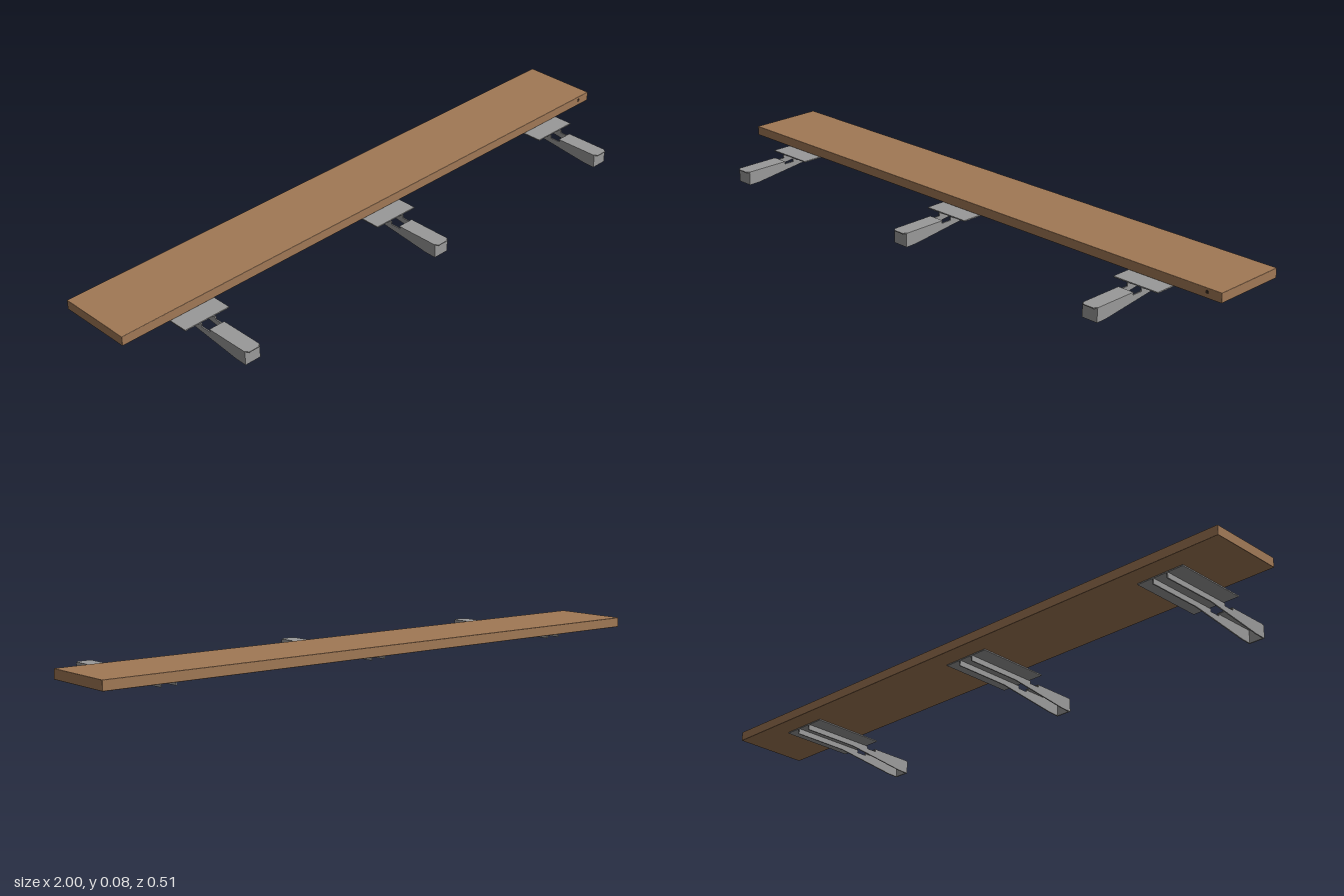
import * as THREE from 'three';
import { RoundedBoxGeometry } from 'three/addons/geometries/RoundedBoxGeometry.js';

const wood = new THREE.MeshStandardMaterial({ color: 0xa07855 });
wood.name = 'wood';
const metal = new THREE.MeshStandardMaterial({ color: 0x999999 });
metal.name = 'grey metal';
const dark = new THREE.MeshStandardMaterial({ color: 0x3a2c22 });
dark.name = 'dark brown';

const HALF = 0.027; // half width of a bracket channel
const WALL = 0.004; // sheet thickness

function add(parent, name, geometry, material, x = 0, y = 0, z = 0) {
  const mesh = new THREE.Mesh(geometry, material);
  mesh.name = name;
  mesh.position.set(x, y, z);
  parent.add(mesh);
  return mesh;
}

function extrude(points, depth) {
  const shape = new THREE.Shape(points.map(([a, b]) => new THREE.Vector2(a, b)));
  return new THREE.ExtrudeGeometry(shape, { depth, bevelEnabled: false });
}

// Side wall outline as (z, y): deep front end, notch, shallow rear rail
const wallGeometry = extrude([
  [0.247, 0], [0.247, 0.043], [0.1, 0.043], [0.1, 0.036], [0.064, 0.036],
  [0.064, 0.045], [-0.192, 0.045], [-0.192, 0.027], [0, 0.027], [0.208, 0.001],
], WALL).rotateY(-Math.PI / 2).translate(WALL / 2, 0, 0);

// Front cover outline as (x, z), with clipped front corners
const coverGeometry = extrude([
  [-HALF, 0.098], [HALF, 0.098], [HALF, 0.243], [0.018, 0.255], [-0.018, 0.255], [-HALF, 0.243],
], 0.003).rotateX(Math.PI / 2);

function makeBracket() {
  const bracket = new THREE.Group();
  bracket.name = 'bracket';
  for (const side of [-1, 1]) {
    add(bracket, 'channelWall', wallGeometry, metal, side * (HALF - WALL / 2));
  }
  add(bracket, 'channelCover', coverGeometry, metal, 0, 0.0445, 0);
  add(bracket, 'frontCap', new THREE.BoxGeometry(HALF * 2 - WALL * 2, 0.042, WALL), metal, 0, 0.021, 0.245);
  add(bracket, 'mountingPlate', new THREE.BoxGeometry(0.16, 0.0035, 0.25), metal, 0, 0.0463, -0.067);
  return bracket;
}

export function createModel() {
  const model = new THREE.Group();
  model.name = 'shelf';

  // Board with slightly eased edges
  add(model, 'board', new RoundedBoxGeometry(2, 0.031, 0.249, 1, 0.002), wood, 0, 0.0635, -0.1305);

  // Small stud on the front edge
  const stud = new THREE.CylinderGeometry(0.005, 0.005, 0.002, 16).rotateX(Math.PI / 2);
  add(model, 'edgeStud', stud, dark, 0.95, 0.067, -0.0055);

  for (const x of [-0.752, 0, 0.752]) {
    const bracket = makeBracket();
    bracket.position.x = x;
    model.add(bracket);
  }
  return model;
}
